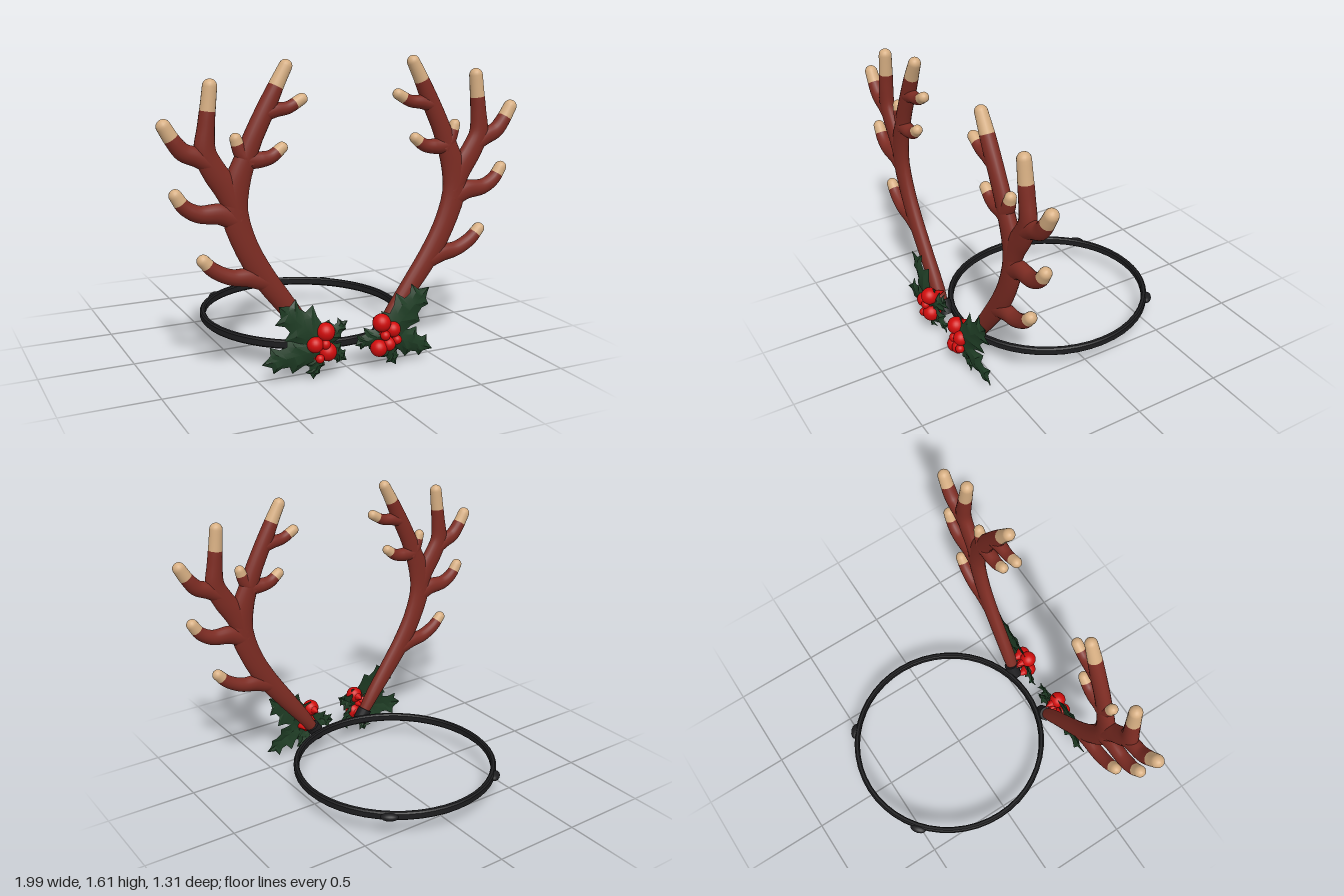
import * as THREE from 'three';
import { toCreasedNormals } from 'three/addons/utils/BufferGeometryUtils.js';

const mat = (name, color) => {
  const m = new THREE.MeshStandardMaterial({ color });
  m.name = name;
  return m;
};

// Skins a list of closed rings; rows from splitRow on use the second material
function skin(rows, splitRow = rows.length) {
  const n = rows[0].length, index = [];
  for (let i = 0; i < rows.length - 1; i++) {
    for (let j = 0; j < n; j++) {
      const a = i * n + j, b = i * n + (j + 1) % n;
      index.push(a, b, b + n, a, b + n, a + n);
    }
  }
  const g = new THREE.BufferGeometry();
  g.setAttribute('position', new THREE.Float32BufferAttribute(rows.flat(2), 3));
  g.setIndex(index);
  const split = Math.min(splitRow * n * 6, index.length);
  g.addGroup(0, split, 0);
  g.addGroup(split, index.length - split, 1);
  g.computeVertexNormals();
  return g;
}

// Tapered round-ended limb; points are [x, y, radius], tip is the pale length
function limb(points, side, tip) {
  const curve = new THREE.CatmullRomCurve3(points.map(([x, y, r]) => new THREE.Vector3(x * side, y, r)));
  const length = curve.getLength(), last = points[points.length - 1][2];
  const split = Math.max(0.1, 1 - (tip - last) / length);
  const rows = [], sides = 20, body = 24, end = 6, cap = 6;
  const ring = (c, t, r, rz) => {
    const row = [], l = Math.hypot(t.x, t.y);
    for (let j = 0; j < sides; j++) {
      const a = j / sides * Math.PI * 2, k = r * Math.cos(a) / l;
      row.push([c.x - t.y * k, c.y + t.x * k, rz * Math.sin(a)]);
    }
    rows.push(row);
  };
  const at = u => {
    const c = curve.getPointAt(u);
    ring(c, curve.getTangentAt(u), c.z, Math.min(c.z, 0.039));
  };
  for (let i = 0; i <= body; i++) at(split * i / body);
  for (let i = 1; i <= end; i++) at(split + (1 - split) * i / end);
  const c = curve.getPointAt(1), t = curve.getTangentAt(1).setZ(0).normalize();
  for (let i = 1; i <= cap; i++) {
    const a = i / cap * Math.PI / 2, r = Math.max(last * Math.cos(a), 1e-4);
    ring(c.clone().addScaledVector(t, last * Math.sin(a)), t, r, r);
  }
  return skin(rows, body);
}

// Spiny leaf, domed across and drooping towards the tip
const leafEdge = [[0, 0.08], [0.08, 0.45], [0.22, 0.98], [0.29, 0.62], [0.42, 0.72], [0.57, 1],
  [0.61, 0.55], [0.72, 0.5], [0.84, 0.72], [0.86, 0.32], [0.93, 0.16], [1, 0.002]];
function leaf(x0, y0, x1, y1, width) {
  const dx = x1 - x0, dy = y1 - y0, l = Math.hypot(dx, dy);
  const rows = leafEdge.map(([t, w], i) => {
    const point = (v, back) => {
      const u = t - 0.13 * w * (1 - Math.abs(v)), s = v * w * width;
      const vein = Math.abs(v) === 0.5 ? (i % 3 === 2 ? 0.006 : -0.003) : 0;
      const z = 0.018 - 0.035 * v * v * w + vein - 0.035 * t * t - (back ? 0.016 * w : 0);
      return [x0 + dx * u - dy / l * s, y0 + dy * u + dx / l * s, z];
    };
    return [...[1, 0.5, 0, -0.5, -1].map(v => point(v, false)), ...[-0.5, 0, 0.5].map(v => point(v, true))];
  });
  return toCreasedNormals(skin(rows), 0.35);
}

const limbs = [
  // name, tip length, path
  ['mainBeam', 0.14, [[0.16, 0.13, 0.028], [0.25, 0.265, 0.042], [0.36, 0.41, 0.052], [0.49, 0.59, 0.06],
    [0.57, 0.74, 0.062], [0.62, 0.9, 0.068], [0.612, 1.02, 0.068], [0.57, 1.14, 0.056], [0.525, 1.25, 0.05],
    [0.46, 1.38, 0.047], [0.4, 1.5, 0.038], [0.352, 1.588, 0.033]]],
  ['outerBranch', 0.15, [[0.61, 0.9, 0.05], [0.66, 1.02, 0.062], [0.72, 1.11, 0.06], [0.762, 1.2, 0.054],
    [0.755, 1.32, 0.042], [0.742, 1.43, 0.037], [0.733, 1.508, 0.035]]],
  ['outerTine', 0.1, [[0.74, 1.14, 0.04], [0.8, 1.18, 0.046], [0.87, 1.21, 0.043], [0.92, 1.27, 0.038], [0.958, 1.333, 0.035]]],
  ['middleTine', 0.075, [[0.6, 0.86, 0.055], [0.69, 0.9, 0.052], [0.8, 0.91, 0.042], [0.87, 0.95, 0.036], [0.911, 1.008, 0.032]]],
  ['lowTine', 0.065, [[0.46, 0.54, 0.05], [0.55, 0.57, 0.048], [0.64, 0.582, 0.04], [0.73, 0.627, 0.036], [0.783, 0.68, 0.032]]],
  ['innerUpperTine', 0.07, [[0.46, 1.37, 0.04], [0.405, 1.382, 0.036], [0.34, 1.39, 0.031], [0.268, 1.428, 0.029]]],
  ['innerLowerTine', 0.06, [[0.56, 1.15, 0.045], [0.49, 1.148, 0.04], [0.43, 1.158, 0.034], [0.373, 1.198, 0.029]]],
  ['smallProng', 0.055, [[0.54, 1.13, 0.045], [0.585, 1.19, 0.036], [0.61, 1.255, 0.029]]],
];

// Leaves as base, tip, half width; berries as position and radius
const sprigs = [
  { name: 'leftSprig',
    leaves: [[0.17, 0.18, 0.44, 0.41, 0.115], [0.18, 0.19, 0.47, 0.065, 0.085], [0.185, 0.17, 0.25, 0.01, 0.06],
      [0.18, 0.2, 0.01, 0.15, 0.065]],
    berries: [[0.147, 0.262, 0.048], [0.21, 0.22, 0.041], [0.131, 0.128, 0.045], [0.185, 0.145, 0.036],
      [0.158, 0.198, 0.026], [0.227, 0.166, 0.025]] },
  { name: 'rightSprig',
    leaves: [[-0.16, 0.18, -0.42, 0.42, 0.115], [-0.15, 0.18, -0.51, 0.13, 0.1], [-0.2, 0.17, -0.23, 0.01, 0.06],
      [-0.18, 0.19, -0.04, 0.08, 0.06], [-0.18, 0.19, -0.035, 0.29, 0.06]],
    berries: [[-0.174, 0.262, 0.048], [-0.235, 0.205, 0.042], [-0.163, 0.155, 0.048], [-0.217, 0.134, 0.023],
      [-0.185, 0.205, 0.026]] },
];

export function createModel() {
  const model = new THREE.Group();
  model.name = 'antlerHeadband';
  const antlerBrown = mat('antlerBrown', 0x7d2c23);
  const tipTan = mat('tipTan', 0xd6ae82);
  const bandBlack = mat('bandBlack', 0x1d1d1f);
  const leafGreen = mat('leafGreen', 0x1f3d25);
  const berryRed = mat('berryRed', 0xd00c0c);

  const add = (parent, name, geometry, material, x = 0, y = 0, z = 0) => {
    const m = new THREE.Mesh(geometry, material);
    m.name = name;
    m.position.set(x, y, z);
    parent.add(m);
    return m;
  };

  // Headband hoop with a softened rectangular section
  const section = [[0.545, -0.015], [0.552, -0.023], [0.567, -0.023], [0.575, -0.015], [0.575, 0.015],
    [0.567, 0.023], [0.552, 0.023], [0.545, 0.015], [0.545, -0.015]].map(([x, y]) => new THREE.Vector2(x, y));
  const hoop = add(model, 'headband', toCreasedNormals(new THREE.LatheGeometry(section, 48), 0.5), bandBlack, 0, 0.148, -0.07);
  hoop.scale.z = 1.018;

  for (const side of [1, -1]) {
    // Rear joints of the hoop
    const joint = add(model, 'bandJoint', new THREE.SphereGeometry(1, 20, 12), bandBlack, side * 0.362, 0.148, -0.525);
    joint.scale.set(0.048, 0.022, 0.028);
    joint.rotation.y = -side * 0.67;

    // Antler
    const antler = new THREE.Group();
    antler.name = side > 0 ? 'leftAntler' : 'rightAntler';
    antler.position.z = 0.525;
    model.add(antler);
    for (const [name, tip, path] of limbs) add(antler, name, limb(path, side, tip), [antlerBrown, tipTan]);

    // Collar holding the antler to the hoop
    const collar = add(model, 'antlerCollar', new THREE.CylinderGeometry(0.042, 0.042, 0.085, 20), bandBlack,
      side * 0.172, 0.155, 0.518);
    collar.rotation.z = -side * 0.56;
  }

  // Leaf and berry sprigs
  for (const { name, leaves, berries } of sprigs) {
    const sprig = new THREE.Group();
    sprig.name = name;
    model.add(sprig);
    leaves.forEach((l, i) => add(sprig, 'leaf', leaf(...l), leafGreen, 0, 0, 0.602 - i * 0.003));
    for (const [x, y, r] of berries) {
      add(sprig, 'berry', new THREE.SphereGeometry(r, 24, 16), berryRed, x, y, 0.656 - r);
      // Tapered back of the berry
      const stem = add(sprig, 'berryStem', new THREE.ConeGeometry(r * 0.85, 0.09, 16), berryRed, x, y, 0.56);
      stem.rotation.x = -Math.PI / 2;
    }
  }
  return model;
}
